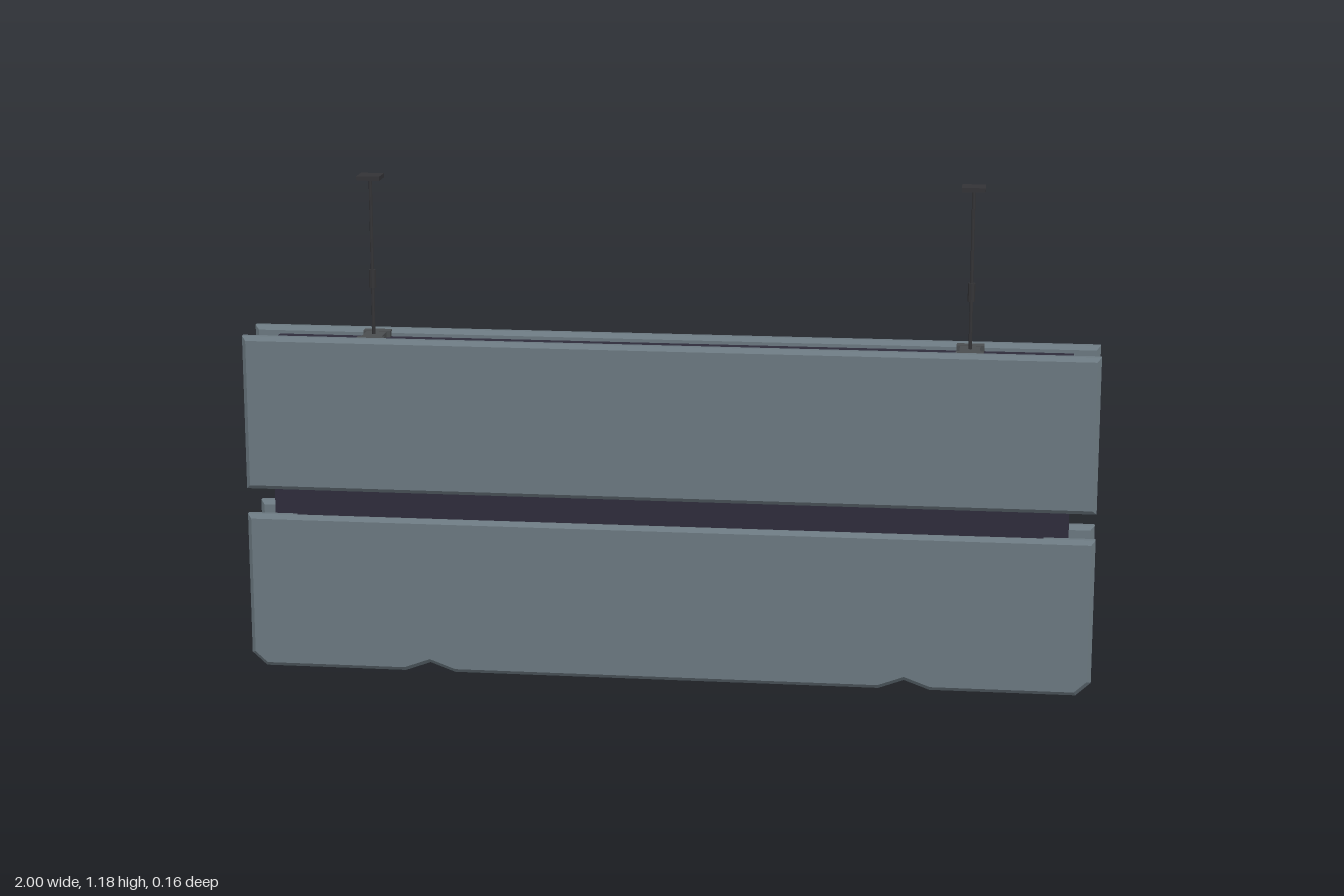
import * as THREE from 'three';

const mat = (name, color) => {
  const m = new THREE.MeshStandardMaterial({ color, flatShading: true });
  m.name = name;
  return m;
};

export function createModel() {
  const group = new THREE.Group();
  const panelMat = mat('slate grey', 0x6b7880);
  const coreMat = mat('dark indigo', 0x2e2c3b);
  const bracketMat = mat('bracket grey', 0x4a4d4f);
  const metalMat = mat('dark metal', 0x333336);

  const add = (parent, name, geometry, material, x, y, z) => {
    const mesh = new THREE.Mesh(geometry, material);
    mesh.name = name;
    mesh.position.set(x, y, z);
    parent.add(mesh);
    return mesh;
  };
  const box = (w, h, d) => new THREE.BoxGeometry(w, h, d);

  // Outlines: a plain upper board and a lower board with cut corners and notches
  const upper = [[-1, 0.442], [1, 0.442], [1, 0.812], [-1, 0.812]];
  const lower = [
    [-1, 0.035], [-0.965, 0.003], [-0.625, 0.003], [-0.565, 0.025], [-0.505, 0.003],
    [0.505, 0.003], [0.565, 0.025], [0.625, 0.003], [0.965, 0.003], [1, 0.035],
    [1, 0.38], [-1, 0.38],
  ];

  // Chamfered boards on both faces
  const bevel = 0.01, thickness = 0.033;
  const board = (points) => {
    const shape = new THREE.Shape(points.map(([x, y]) => new THREE.Vector2(x, y)));
    const geo = new THREE.ExtrudeGeometry(shape, {
      depth: thickness - 2 * bevel, bevelEnabled: true, bevelSegments: 1,
      bevelSize: bevel, bevelThickness: bevel, bevelOffset: -bevel,
    });
    return geo.translate(0, 0, bevel - thickness / 2);
  };
  const upperGeo = board(upper), lowerGeo = board(lower);
  for (const [side, s] of [['front', 1], ['back', -1]]) {
    add(group, side + 'UpperPanel', upperGeo, panelMat, 0, 0, s * 0.0645);
    add(group, side + 'LowerPanel', lowerGeo, panelMat, 0, 0, s * 0.0645);
    // Filler strip in the slot between the boards
    add(group, side + 'SlotStrip', box(1.76, 0.09, 0.02), coreMat, 0, 0.411, s * 0.057);
  }

  // Inner core
  add(group, 'core', box(1.876, 0.767, 0.1), coreMat, 0, 0.4105, 0);

  // Hangers: clip across the core, rod, turnbuckle and ceiling plate
  for (const [side, x] of [['right', -0.7], ['left', 0.7]]) {
    const hanger = new THREE.Group();
    hanger.name = side + 'Hanger';
    hanger.position.x = x;
    group.add(hanger);
    add(hanger, 'clipBar', box(0.048, 0.018, 0.11), bracketMat, 0, 0.8, 0);
    for (const s of [1, -1]) {
      add(hanger, 'clipEnd', box(0.064, 0.02, 0.026), bracketMat, 0, 0.8, s * 0.044);
    }
    add(hanger, 'rod', new THREE.CylinderGeometry(0.004, 0.004, 0.375, 8), metalMat, 0, 0.9925, 0);
    add(hanger, 'turnbuckle', new THREE.CylinderGeometry(0.0085, 0.0085, 0.043, 8), metalMat, 0, 0.942, 0);
    add(hanger, 'ceilingPlate', box(0.054, 0.01, 0.054), metalMat, 0, 1.183, 0);
  }
  return group;
}
